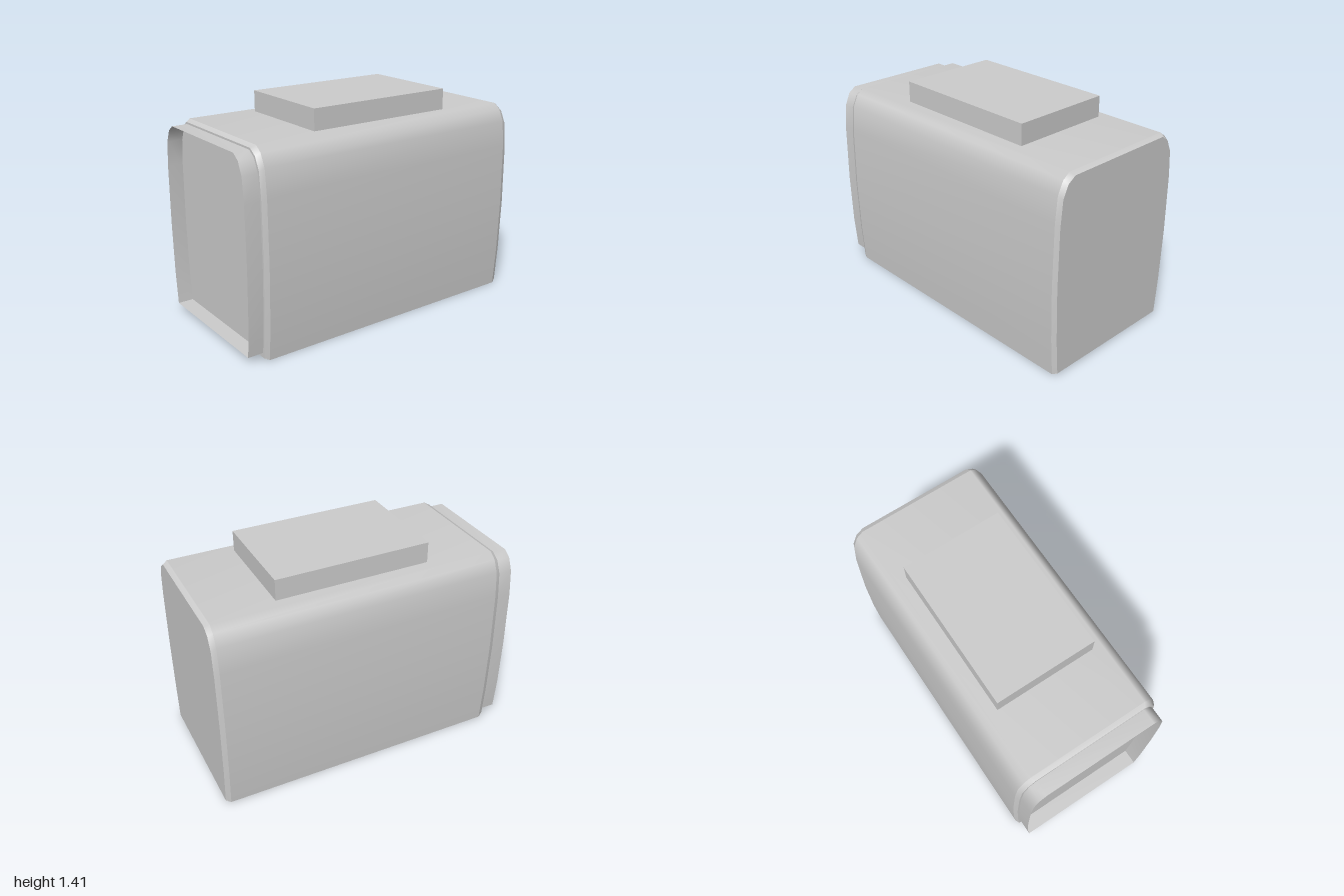
import * as THREE from 'three';

// Half outline of the hull from its lower edge to the roof: [x, y]
const OUTER = [[0.473, 0], [0.49, 0.25], [0.5, 0.6], [0.494, 1.0], [0.478, 1.165], [0.441, 1.242], [0.396, 1.276]];
const INNER = [[0.46, 0.015], [0.477, 0.25], [0.488, 0.6], [0.483, 0.98], [0.468, 1.147], [0.432, 1.225], [0.38, 1.261]];
const RIM = [[0.448, 0.046], [0.466, 0.26], [0.475, 0.6], [0.47, 0.975], [0.455, 1.135], [0.42, 1.215], [0.372, 1.249]];

const mirrored = (half) => [...half, ...half.slice().reverse().map(([x, y]) => [-x, y])];

// Skin joining cross-sections given as [half outline, z], back to front
function loft(sections, closed = false) {
  const pos = [], index = [];
  const rings = sections.map(([half, z]) => {
    const ring = mirrored(half);
    if (closed) ring.push(ring[0]);
    ring.forEach(([x, y]) => pos.push(x, y, z));
    return ring;
  });
  const n = rings[0].length;
  for (let s = 0; s < rings.length - 1; s++) {
    for (let i = 0; i < n - 1; i++) {
      const a = s * n + i, b = a + n;
      index.push(a, a + 1, b, a + 1, b + 1, b);
    }
  }
  const geo = new THREE.BufferGeometry();
  geo.setAttribute('position', new THREE.Float32BufferAttribute(pos, 3));
  geo.setIndex(index);
  geo.computeVertexNormals();
  return geo;
}

export function createModel() {
  const group = new THREE.Group();
  const grey = new THREE.MeshStandardMaterial({ color: 0xcccccc, side: THREE.DoubleSide });
  grey.name = 'grey';

  const add = (name, geo, x = 0, y = 0, z = 0) => {
    const mesh = new THREE.Mesh(geo, grey);
    mesh.name = name;
    mesh.position.set(x, y, z);
    group.add(mesh);
    return mesh;
  };

  // Long rounded hull with narrow bevels at both ends
  add('hull', loft([[OUTER, -0.97], [OUTER, 0.87]]));
  add('backBevel', loft([[INNER, -1], [OUTER, -0.97]]));
  add('frontBevel', loft([[OUTER, 0.87], [INNER, 0.9]]));

  // Flat end walls
  const wall = new THREE.ShapeGeometry(new THREE.Shape(mirrored(INNER).map(([x, y]) => new THREE.Vector2(x, y))));
  add('frontWall', wall, 0, 0, 0.9);
  add('backWall', wall, 0, 0, -1).rotation.y = Math.PI;

  // Underside, set just above the lower edges of the hull
  add('floor', new THREE.PlaneGeometry(0.935, 1.9), 0, 0.015, -0.05).rotation.x = Math.PI / 2;

  // Thin open collar around the front end
  add('frontCollar', loft([[RIM, 0.9], [RIM, 1]]));
  add('collarFloor', new THREE.PlaneGeometry(0.896, 0.1), 0, 0.046, 0.95).rotation.x = Math.PI / 2;

  // Roof unit
  add('roofUnit', new THREE.BoxGeometry(0.666, 0.136, 1), 0, 1.342, -0.056);

  return group;
}
